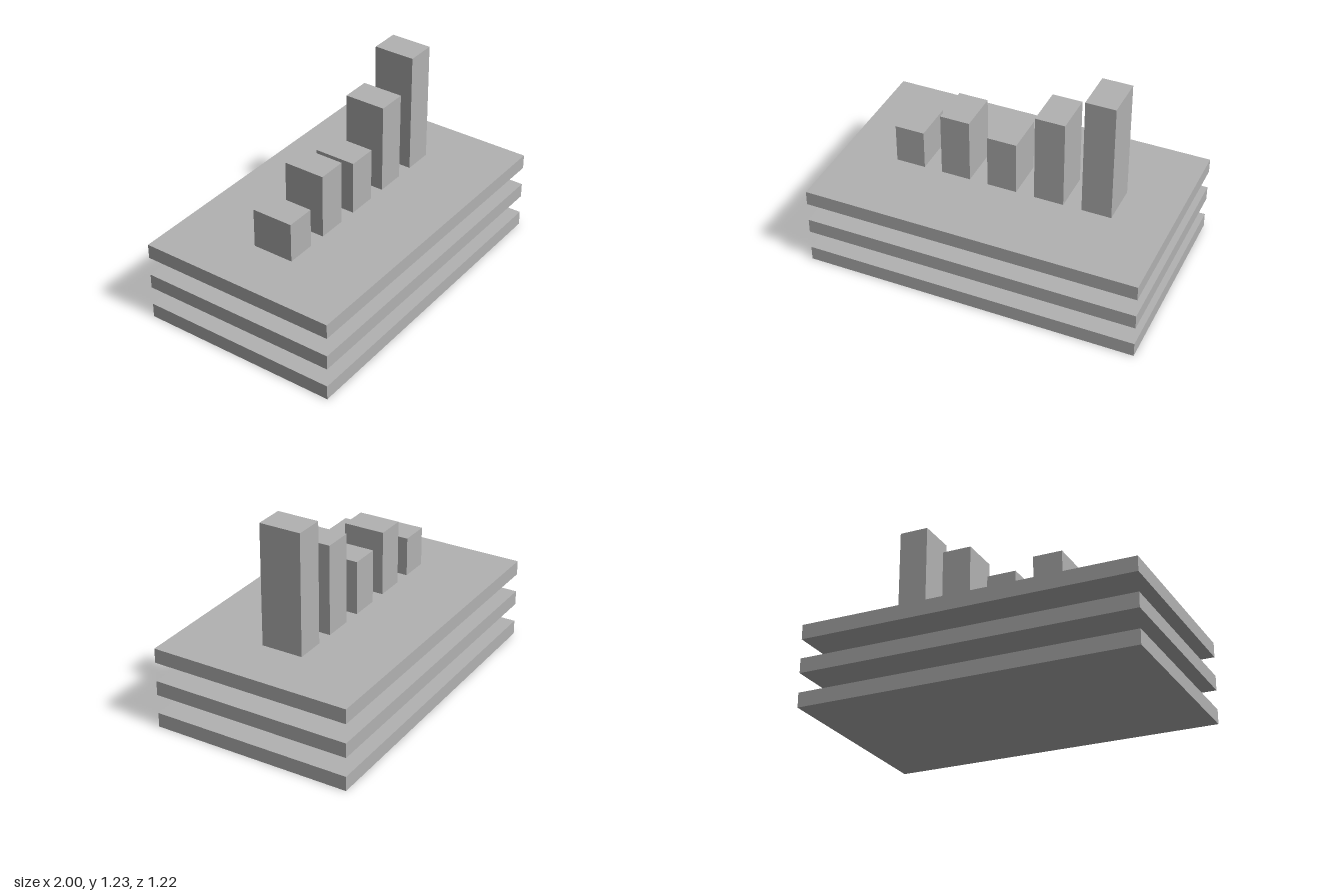
import * as THREE from 'three';

export function createModel() {
  const model = new THREE.Group();
  const grey = new THREE.MeshStandardMaterial({ color: 0xb2b2b2 });
  grey.name = 'grey';

  // Box standing on height y
  function addBlock(name, width, height, depth, x, y) {
    const mesh = new THREE.Mesh(new THREE.BoxGeometry(width, height, depth), grey);
    mesh.name = name;
    mesh.position.set(x, y + height / 2, 0);
    model.add(mesh);
  }

  // Three stacked floating plates
  const plateHeight = 0.088, plateStep = 0.204;
  for (let i = 0; i < 3; i++) {
    addBlock(`plate${i + 1}`, 2, plateHeight, 1.215, 0, i * plateStep);
  }

  // Row of chart bars on the top plate
  const deck = 2 * plateStep + plateHeight;
  [0.735, 0.887, 0.822, 1.04, 1.228].forEach((top, i) => {
    addBlock(`bar${i + 1}`, 0.178, top - deck, 0.252, (i - 2) * 0.288, deck);
  });

  return model;
}
